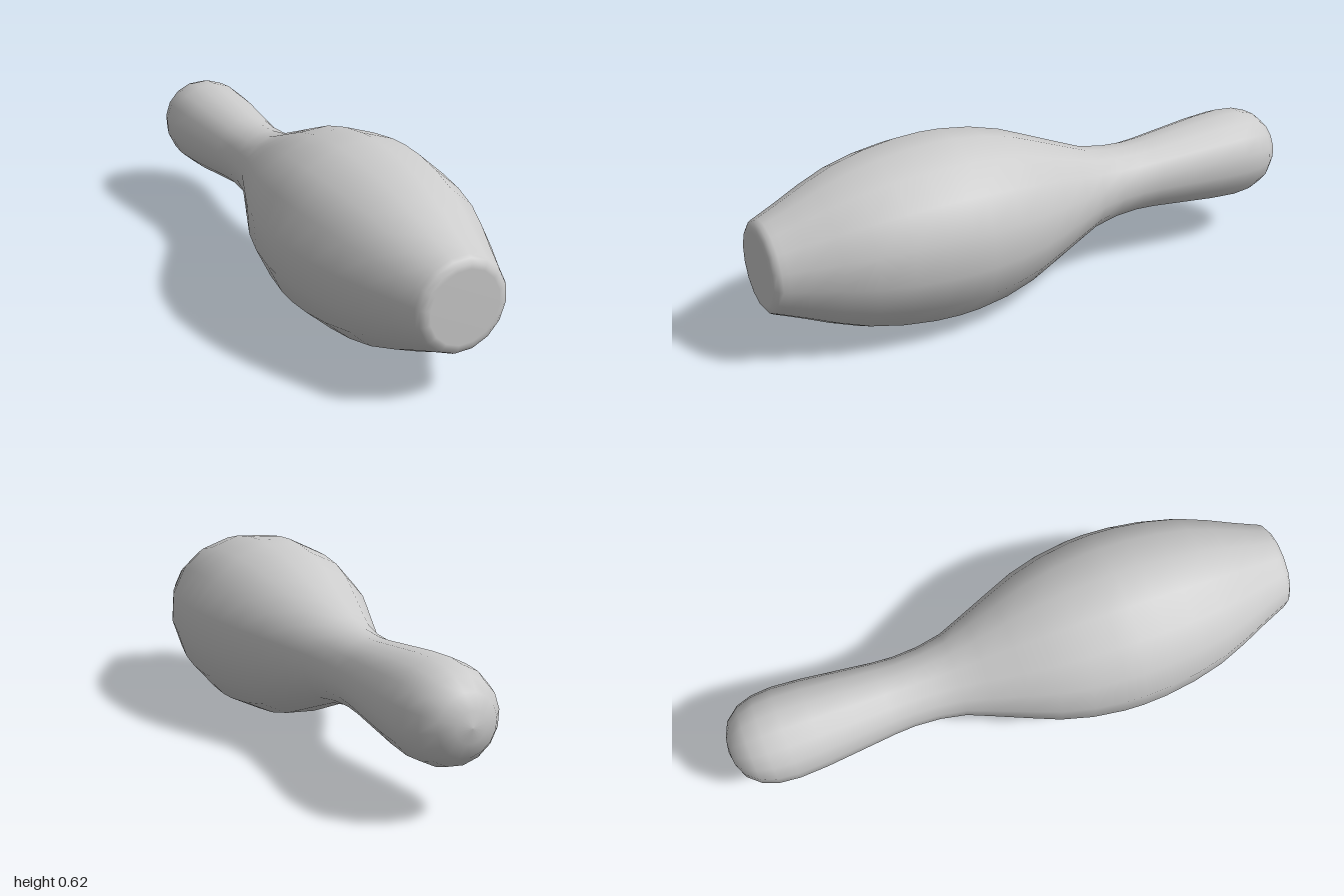
import * as THREE from 'three';

export function createModel() {
  const group = new THREE.Group();
  group.name = 'bowlingPin';

  // Profile as [radius, position along the pin], from the rounded head to the flat base
  const profile = [
    [0, -1], [0.05, -0.992], [0.1, -0.97], [0.138, -0.925], [0.156, -0.87], [0.162, -0.8],
    [0.156, -0.7], [0.142, -0.57], [0.129, -0.45], [0.125, -0.38], [0.13, -0.29], [0.147, -0.2],
    [0.183, -0.11], [0.228, 0], [0.268, 0.1], [0.297, 0.21], [0.312, 0.32], [0.315, 0.39],
    [0.311, 0.48], [0.296, 0.59], [0.27, 0.7], [0.232, 0.8], [0.192, 0.89], [0.165, 0.955],
    [0.157, 0.975], [0.15, 0.988], [0.135, 0.998], [0.12, 1], [0, 1],
  ].map(([r, y]) => new THREE.Vector2(r, y));

  // Sixteen-sided turned body, lying on its side with the base facing forward
  const geometry = new THREE.LatheGeometry(profile, 16, THREE.MathUtils.degToRad(15));
  geometry.rotateX(Math.PI / 2);
  geometry.translate(0, 0.3125, 0);

  const pin = new THREE.Mesh(geometry, new THREE.MeshStandardMaterial({ color: 0xcccccc }));
  pin.name = 'pinBody';
  group.add(pin);
  return group;
}
